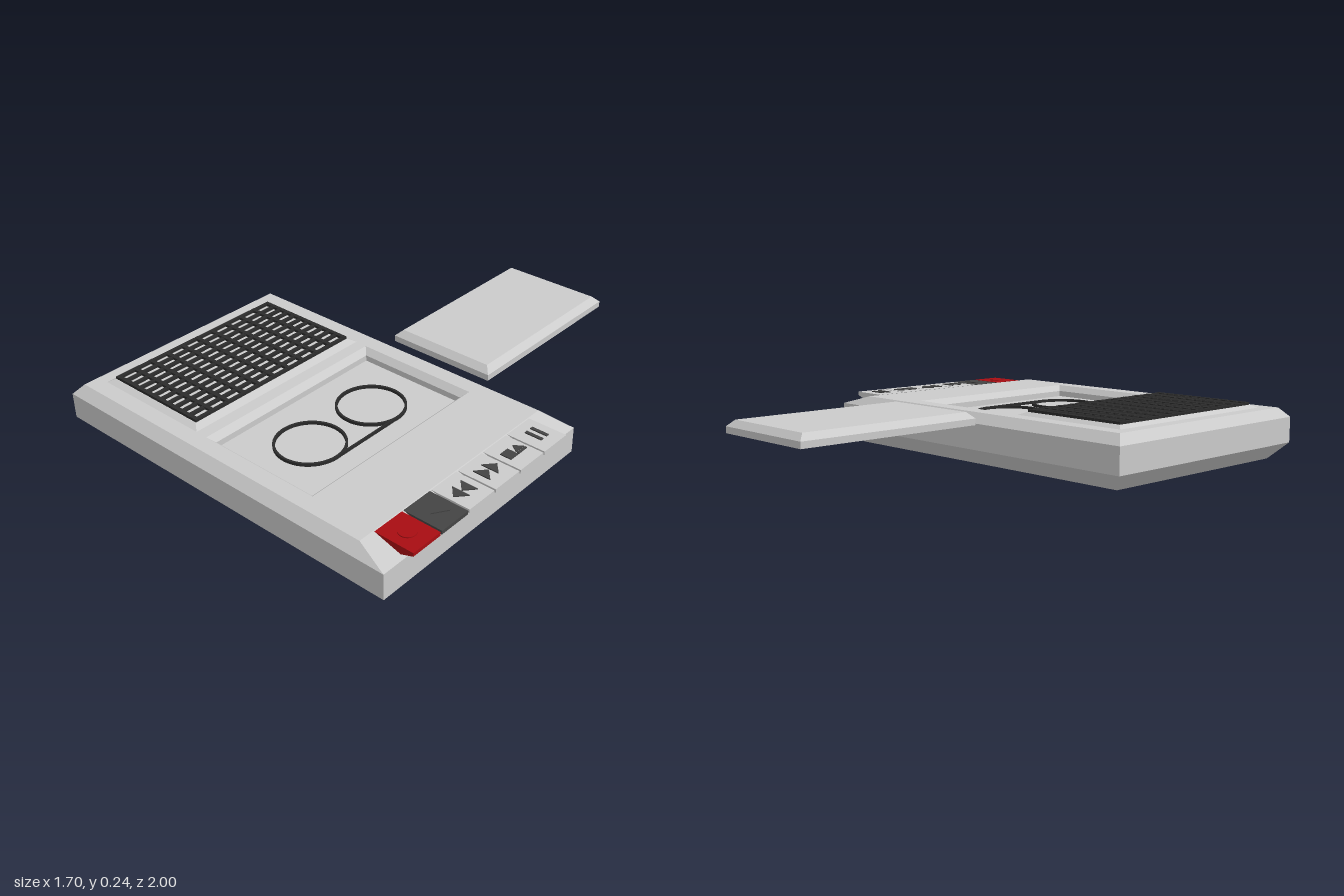
import * as THREE from 'three';

const mat = (color, side = THREE.FrontSide) =>
  new THREE.MeshStandardMaterial({ color, side, flatShading: true });

// Stacked rectangles [x0, x1, z0, z1, y] joined by flat sides, with optional caps
function loft(rects, { bottom = false, top = false } = {}) {
  const rings = rects.map(([x0, x1, z0, z1, y]) =>
    [[x0, y, z1], [x1, y, z1], [x1, y, z0], [x0, y, z0]]);
  const pos = [];
  const quad = (a, b, c, d) => pos.push(...a, ...b, ...c, ...a, ...c, ...d);
  for (let k = 0; k < rings.length - 1; k++) {
    for (let i = 0; i < 4; i++) {
      const j = (i + 1) % 4;
      quad(rings[k][i], rings[k][j], rings[k + 1][j], rings[k + 1][i]);
    }
  }
  if (bottom) quad(...[...rings[0]].reverse());
  if (top) quad(...rings[rings.length - 1]);
  const g = new THREE.BufferGeometry();
  g.setAttribute('position', new THREE.Float32BufferAttribute(pos, 3));
  g.computeVertexNormals();
  return g;
}

// Flat outline in x/z, given thickness upward from y
function plate(shape, y, height) {
  return new THREE.ExtrudeGeometry(shape, { depth: height, bevelEnabled: false, curveSegments: 48 })
    .rotateX(-Math.PI / 2).translate(0, y, 0);
}
const outline = (pts) => new THREE.Shape(pts.map(([x, z]) => new THREE.Vector2(x, -z)));
const rectPts = (x0, x1, z0, z1) => [[x0, z1], [x1, z1], [x1, z0], [x0, z0]];

export function createModel() {
  const model = new THREE.Group();
  const grey = mat(0xcccccc);
  const greyThin = mat(0xcccccc, THREE.DoubleSide);
  const dark = mat(0x444444);
  const black = mat(0x2b2b2b);
  const red = mat(0xa80d12);
  const add = (parent, name, geometry, material) => {
    const mesh = new THREE.Mesh(geometry, material);
    mesh.name = name;
    parent.add(mesh);
    return mesh;
  };
  const group = (name) => {
    const g = new THREE.Group();
    g.name = name;
    model.add(g);
    return g;
  };

  // Case: tapered foot, upright sides, bevelled top with a wide slope under the keys
  const body = group('body');
  add(body, 'bodyShell', loft([
    [-0.785, 0.745, -0.045, 0.935, 0],
    [-0.85, 0.81, -0.11, 1, 0.07],
    [-0.85, 0.81, -0.11, 1, 0.18],
    [-0.815, 0.67, -0.07, 0.96, 0.22],
  ], { bottom: true }), grey);
  const top = outline(rectPts(-0.815, 0.67, -0.07, 0.96));
  top.holes.push(outline(rectPts(-0.165, 0.385, 0, 0.89)));
  add(body, 'topPanel', new THREE.ShapeGeometry(top).rotateX(-Math.PI / 2).translate(0, 0.22, 0), grey);

  // Tape compartment sunk into the top
  add(body, 'tapeCompartment', loft([
    [-0.165, 0.385, 0, 0.89, 0.22],
    [-0.14, 0.36, 0.025, 0.865, 0.195],
    [-0.14, 0.36, 0.025, 0.865, 0.17],
  ], { top: true }), grey);

  // Two reel outlines and the tape run between them
  const reels = group('reels');
  for (const z of [0.275, 0.62]) {
    const ring = new THREE.Shape().absarc(0.11, -z, 0.143, 0, Math.PI * 2);
    ring.holes.push(new THREE.Path().absarc(0.11, -z, 0.133, 0, Math.PI * 2, true));
    add(reels, 'reelRing', plate(ring, 0.17, 0.012), black);
  }
  add(reels, 'tapeRun', new THREE.BoxGeometry(0.008, 0.012, 0.345).translate(0.248, 0.176, 0.4475), black);

  // Detached hollow lid behind the case
  add(model, 'lid', loft([
    [-0.14, 0.36, -1, -0.16, 0.185],
    [-0.14, 0.36, -1, -0.16, 0.212],
    [-0.113, 0.333, -0.973, -0.187, 0.238],
  ], { top: true }), greyThin);

  // Speaker: raised base with a crossed grille
  const speaker = group('speaker');
  add(speaker, 'speakerBase', loft([
    [-0.76, -0.22, -0.002, 0.89, 0.22],
    [-0.737, -0.253, 0.02, 0.865, 0.233],
  ], { top: true }), grey);
  for (let i = 0; i < 12; i++) {
    add(speaker, 'grilleBarLong', new THREE.BoxGeometry(0.016, 0.012, 0.84)
      .translate(-0.728 + i * 0.466 / 11, 0.237, 0.4425), black);
  }
  for (let i = 0; i < 11; i++) {
    add(speaker, 'grilleBarCross', new THREE.BoxGeometry(0.48, 0.013, 0.018)
      .translate(-0.495, 0.2375, 0.032 + i * 0.0821), black);
  }

  // Row of six wedge keys along the sloped edge
  const keys = group('keys');
  const wedge = new THREE.Shape([[0.675, 0.22], [0.79, 0.185], [0.845, 0.205], [0.845, 0.22]]
    .map(([x, y]) => new THREE.Vector2(x, y)));
  [grey, grey, grey, grey, dark, red].forEach((material, i) => {
    add(keys, 'key', new THREE.ExtrudeGeometry(wedge, { depth: 0.142, bevelEnabled: false })
      .translate(0, 0, i * 0.15), material);
  });

  // Key symbols: bars, square and triangles
  const symbol = (pts, material = dark) =>
    add(keys, 'keySymbol', plate(outline(pts), 0.2195, 0.005), material);
  for (const z of [0.05, 0.085]) symbol(rectPts(0.72, 0.795, z - 0.007, z + 0.007));
  symbol(rectPts(0.733, 0.782, 0.22, 0.265));
  symbol([[0.735, 0.19], [0.768, 0.215], [0.768, 0.165]]);
  symbol(rectPts(0.772, 0.782, 0.165, 0.215));
  for (const z of [0.34, 0.39]) {
    symbol([[0.72, z + 0.022], [0.798, z + 0.022], [0.759, z - 0.022]]);
  }
  for (const z of [0.505, 0.553]) {
    symbol([[0.759, z + 0.022], [0.798, z - 0.022], [0.72, z - 0.022]]);
  }
  symbol([[0.759, 0.7], [0.798, 0.64], [0.72, 0.64]]);
  const dot = new THREE.Shape().absarc(0.759, -0.82, 0.035, 0, Math.PI * 2);
  add(keys, 'recordSymbol', plate(dot, 0.2195, 0.005), red);

  return model;
}
